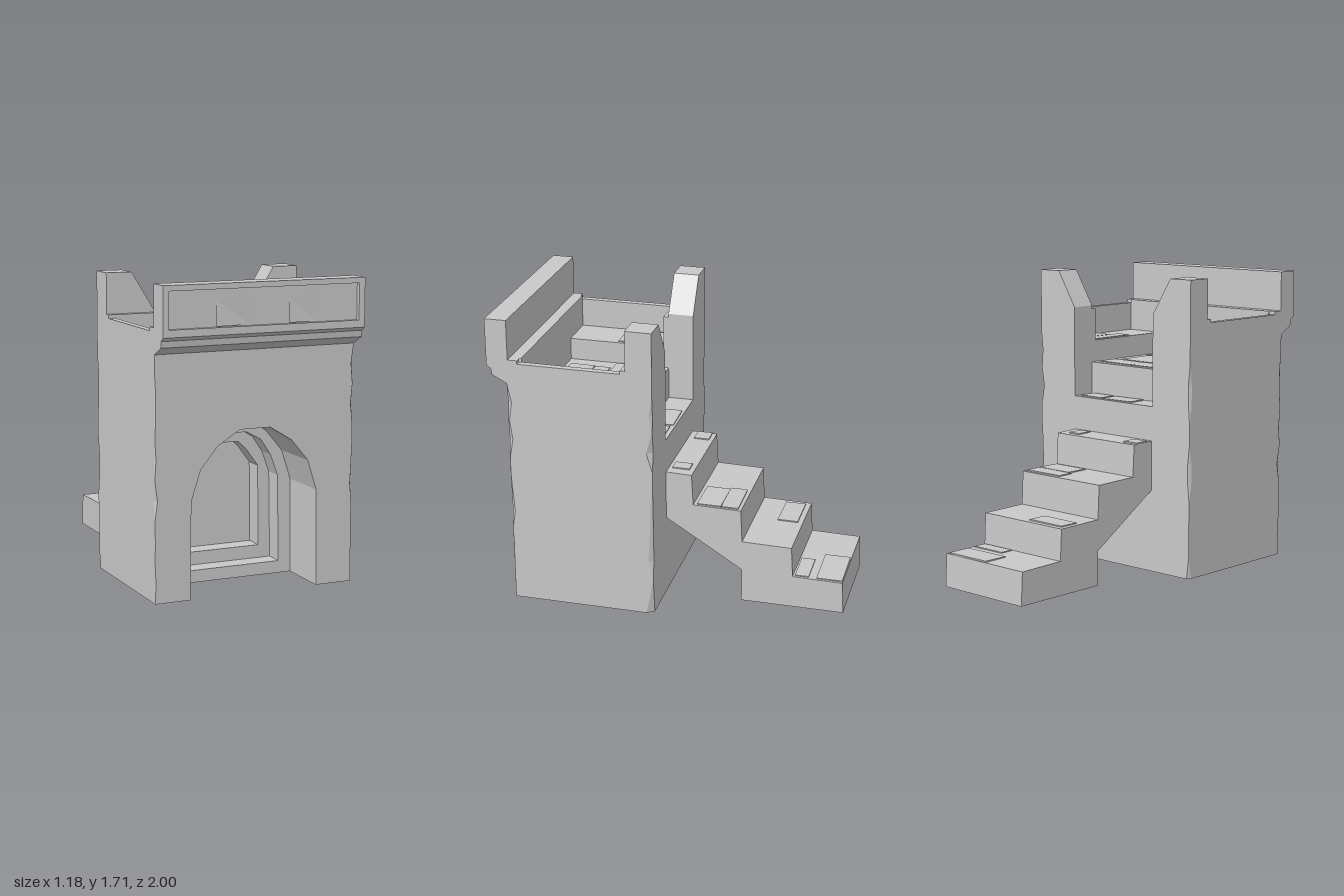
import * as THREE from 'three';

// Open stone shells, visible from below too
const stone = new THREE.MeshStandardMaterial({ color: 0xc8c8c8, side: THREE.DoubleSide, flatShading: true });
stone.name = 'grey stone';

// Small seeded random for chips and cobbles
function seeded(seed) {
  return () => {
    seed = (seed * 16807) % 2147483647;
    return seed / 2147483647;
  };
}

export function createModel() {
  const model = new THREE.Group();
  model.name = 'gatehouse';
  const rand = seeded(77);

  function add(name, geometry) {
    const mesh = new THREE.Mesh(geometry, stone);
    mesh.name = name;
    model.add(mesh);
    return mesh;
  }

  // Strip of faces between two polylines of equal length, turned towards dir
  function ruled(name, a, b, dir) {
    const tris = [];
    for (let i = 0; i < a.length - 1; i++) {
      tris.push([a[i], b[i], a[i + 1]], [b[i], b[i + 1], a[i + 1]]);
    }
    const sum = new THREE.Vector3();
    for (const [p, q, r] of tris) {
      const u = new THREE.Vector3(...q).sub(new THREE.Vector3(...p));
      sum.add(u.cross(new THREE.Vector3(...r).sub(new THREE.Vector3(...p))));
    }
    if (sum.dot(new THREE.Vector3(...dir)) < 0) tris.forEach((t) => t.reverse());
    const g = new THREE.BufferGeometry();
    g.setAttribute('position', new THREE.Float32BufferAttribute(tris.flat(2), 3));
    g.computeVertexNormals();
    return add(name, g);
  }

  // Profile of [z, y] points swept from x0 to x1
  const sheet = (name, profile, x0, x1, dir) =>
    ruled(name, profile.map(([z, y]) => [x0, y, z]), profile.map(([z, y]) => [x1, y, z]), dir);

  const shapeOf = (pts) => new THREE.Shape(pts.map(([x, y]) => new THREE.Vector2(x, y)));

  // Flat polygon facing front or back (points are [x, y])
  function faceZ(name, pts, z, side = 1, hole = null) {
    const shape = shapeOf(pts.map(([x, y]) => [x * side, y]));
    if (hole) shape.holes.push(shapeOf(hole));
    const g = new THREE.ShapeGeometry(shape);
    if (side < 0) g.rotateY(Math.PI);
    return add(name, g.translate(0, 0, z));
  }

  // Flat polygon facing sideways (points are [z, y])
  function faceX(name, pts, x, side) {
    const g = new THREE.ShapeGeometry(shapeOf(pts.map(([z, y]) => [-z * side, y])));
    return add(name, g.rotateY(side * Math.PI / 2).translate(x, 0, 0));
  }

  const at = (pts, z) => pts.map(([x, y]) => [x, y, z]);
  const rect = (x0, x1, y0, y1) => [[x0, y0], [x1, y0], [x1, y1], [x0, y1]];
  const closed = (pts) => [...pts, pts[0]];

  // Chipped corner lines, front and back, for both sides
  const levels = 12;
  const corner = {};
  for (const s of [1, -1]) {
    for (const [end, z, inward, size] of [['front', 0.885, -1, 0.015], ['back', 0.05, 1, 0.028]]) {
      const wallLine = [], sideLine = [];
      for (let i = 0; i <= levels; i++) {
        const chip = i === levels ? 0 : size * rand() ** 2;
        const y = 1.34 * i / levels;
        wallLine.push([s * (0.59 - chip), y, z]);
        sideLine.push([s * 0.59, y, z + inward * chip * 1.6]);
      }
      ruled('chipped corner', wallLine, sideLine, [s, 0, -inward]);
      corner[end + s] = { wallLine, sideLine };
    }
    // Side wall
    const top = (z) => [[s * 0.59, 1.46, z]];
    ruled('side wall', [...corner['front' + s].sideLine, ...top(0.885)],
      [...corner['back' + s].sideLine, ...top(0.05)], [s, 0, 0]);
  }
  const edge = (end, s) => corner[end + s].wallLine.map(([x, y]) => [x, y]);

  // Stepped arched niche
  const arch = (half) => [...half, ...half.slice().reverse().map(([x, y]) => [-x, y])]
    .map(([x, y]) => [x - 0.005, y]);
  const outer = arch([[0.38, 0], [0.375, 0.54], [0.32, 0.71], [0.22, 0.83], [0.09, 0.91]]);
  const middle = arch([[0.305, 0.07], [0.295, 0.57], [0.25, 0.69], [0.19, 0.78], [0.1, 0.83]]);
  const inner = arch([[0.23, 0.145], [0.225, 0.61], [0.18, 0.67], [0.15, 0.71], [0.1, 0.757]]);
  const [z0, z1, z2, z3] = [0.885, 0.57, 0.46, 0.35];
  faceZ('front wall', [...edge('front', 1), ...edge('front', -1).reverse(), outer[9], ...outer.slice(0, 9).reverse()], z0);
  ruled('arch jamb', at(outer, z0), at(outer, z1), [0, -1, 0]);
  ruled('arch frame', at(closed(outer), z1), at(closed(middle), z1), [0, 0, 1]);
  ruled('middle jamb', at(middle, z1), at(middle, z2), [0, -1, 0]);
  ruled('inner frame', at(closed(middle), z2), at(closed(inner), z2), [0, 0, 1]);
  ruled('inner jamb', at(inner, z2), at(inner, z3), [0, -1, 0]);
  faceZ('niche back', inner, z3);
  sheet('middle sill', [[z1, 0.07], [z2, 0.07]], -0.31, 0.3, [0, 1, 0]);
  sheet('inner sill', [[z2, 0.145], [z3, 0.145]], -0.235, 0.225, [0, 1, 0]);
  faceZ('wall crack', [[0, 1.33], [-0.07, 1.05], [-0.02, 1.25]], 0.888);

  // Back wall with its two chamfered posts
  const post = [[0.59, 1.71], [0.44, 1.71], [0.31, 1.5], [0.31, 0.97]];
  const mirror = (pts) => pts.map(([x, y]) => [-x, y]);
  faceZ('back wall', [...edge('back', 1), ...post, ...mirror(post).reverse(), ...edge('back', -1).reverse()], 0.05, -1);
  for (const s of [1, -1]) {
    const p = post.map(([x, y]) => [s * x, y]);
    ruled('post top and inner face', at(p, 0.05), at(p, 0.2), [-s, 1, 0]);
    faceX('post outer face', [[0.05, 1.46], [0.2, 1.46], [0.2, 1.71], [0.05, 1.71]], s * 0.59, s);
    const front = [[0.59, 1.29], ...post.slice(0, 3), [0.31, 1.16]].map(([x, y]) => [s * x, y]);
    faceZ('post front', front, 0.2);

    // Side bench, low rim and ledge before the post
    sheet('side bench', [[0.2, 1.29], [0.81, 1.29], [0.81, 1.48], [0.875, 1.48]], s * 0.31, s * 0.55, [0, 1, -1]);
    faceX('bench riser', [[0.2, 1.16], [0.81, 1.16], [0.81, 1.29], [0.23, 1.29], [0.23, 1.48], [0.2, 1.48]], s * 0.31, -s);
    faceX('rim inner face', [[0.2, 1.29], [0.81, 1.29], [0.81, 1.46], [0.2, 1.46]], s * 0.55, -s);
    sheet('rim top', [[0.2, 1.46], [0.82, 1.46], [0.82, 1.48], [0.875, 1.48]], s * 0.55, s * 0.59, [0, 1, -1]);
    sheet('post ledge', [[0.2, 1.48], [0.23, 1.48], [0.23, 1.29]], s * 0.31, s * 0.59, [0, 1, 1]);
    faceX('ledge end', [[0.2, 1.46], [0.23, 1.46], [0.23, 1.48], [0.2, 1.48]], s * 0.59, s);

    // Parapet end
    faceX('parapet end', [[0.82, 1.46], [0.885, 1.46], [0.885, 1.34], [0.97, 1.385], [0.975, 1.42], [1, 1.44],
      [1, 1.71], [0.875, 1.71], [0.875, 1.48], [0.82, 1.48]], s * 0.59, s);

    // Stair side
    faceX('stair side', [[0.05, 0.48], [0.05, 0.77], [-0.1, 0.765], [-0.11, 0.58], [-0.39, 0.575], [-0.4, 0.38],
      [-0.69, 0.375], [-0.7, 0.195], [-0.99, 0.19], [-1, 0], [-0.4, 0], [-0.4, 0.2]], s * 0.305, s);
  }

  // Front parapet with sunken panel and corbel
  sheet('parapet back and top', [[0.875, 1.48], [0.875, 1.71], [1, 1.71]], -0.59, 0.59, [0, 1, -1]);
  sheet('corbel', [[1, 1.44], [0.975, 1.42], [0.97, 1.385], [0.885, 1.34]], -0.59, 0.59, [0, -1, 1]);
  const panel = rect(-0.555, 0.555, 1.48, 1.68);
  faceZ('parapet front', rect(-0.59, 0.59, 1.44, 1.71), 1, 1, panel);
  for (let i = 0; i < 4; i++) {
    const pair = [panel[i], panel[(i + 1) % 4]];
    const dir = [[0, 1, 0], [-1, 0, 0], [0, -1, 0], [1, 0, 0]][i];
    ruled('panel border', at(pair, 1), at(pair, 0.975), dir);
  }
  faceZ('panel back', panel, 0.975);
  // Worn raised stones in the panel
  for (const [xa, xb] of [[-0.285, -0.08], [0.14, 0.31]]) {
    ruled('worn panel stone', [[xa, 1.485, 0.994], [xb, 1.485, 0.976]], [[xa, 1.62, 0.98], [xb, 1.66, 0.976]], [0, 0, 1]);
  }

  // Stairs, passage step and walkway floor
  sheet('stairs', [[-1, 0], [-0.99, 0.19], [-0.7, 0.195], [-0.69, 0.375], [-0.4, 0.38], [-0.39, 0.575],
    [-0.11, 0.58], [-0.1, 0.765], [0.05, 0.77]], -0.305, 0.305, [0, 1, -1]);
  sheet('passage and walkway', [[0.05, 0.97], [0.2, 0.97], [0.2, 1.16], [0.81, 1.16], [0.81, 1.48], [0.875, 1.48]],
    -0.31, 0.31, [0, 1, -1]);

  // Low paving stones: x, z, width, depth, floor height
  const paving = [
    [-0.14, 0.3, 0.31, 0.14, 1.16], [0.15, 0.3, 0.26, 0.13, 1.16], [-0.17, 0.46, 0.25, 0.12, 1.16],
    [0.11, 0.51, 0.26, 0.25, 1.16], [-0.13, 0.58, 0.17, 0.09, 1.16], [-0.14, 0.71, 0.17, 0.15, 1.16],
    [0.03, 0.7, 0.12, 0.1, 1.16], [0.19, 0.72, 0.16, 0.14, 1.16],
    [-0.01, 0.125, 0.22, 0.12, 0.97], [0.2, 0.13, 0.16, 0.11, 0.97],
    [-0.25, -0.03, 0.1, 0.09, 0.768], [0.2, -0.02, 0.08, 0.1, 0.768],
    [0.17, -0.2, 0.24, 0.14, 0.579], [0.16, -0.32, 0.26, 0.1, 0.577],
    [-0.15, -0.6, 0.25, 0.12, 0.377], [0.14, -0.91, 0.3, 0.15, 0.192], [0.18, -0.75, 0.22, 0.08, 0.194],
    [-0.43, 0.38, 0.2, 0.27, 1.29], [0.37, 0.4, 0.09, 0.3, 1.29], [0.48, 0.36, 0.11, 0.24, 1.29],
  ];
  for (const [x, z, w, d, y] of paving) {
    const slab = add('paving stone', new THREE.BoxGeometry(w, 0.009, d));
    slab.position.set(x, y + 0.001, z);
    slab.rotation.set(0, (rand() - 0.5) * 0.05, (rand() - 0.5) * 0.015);
  }

  return model;
}
